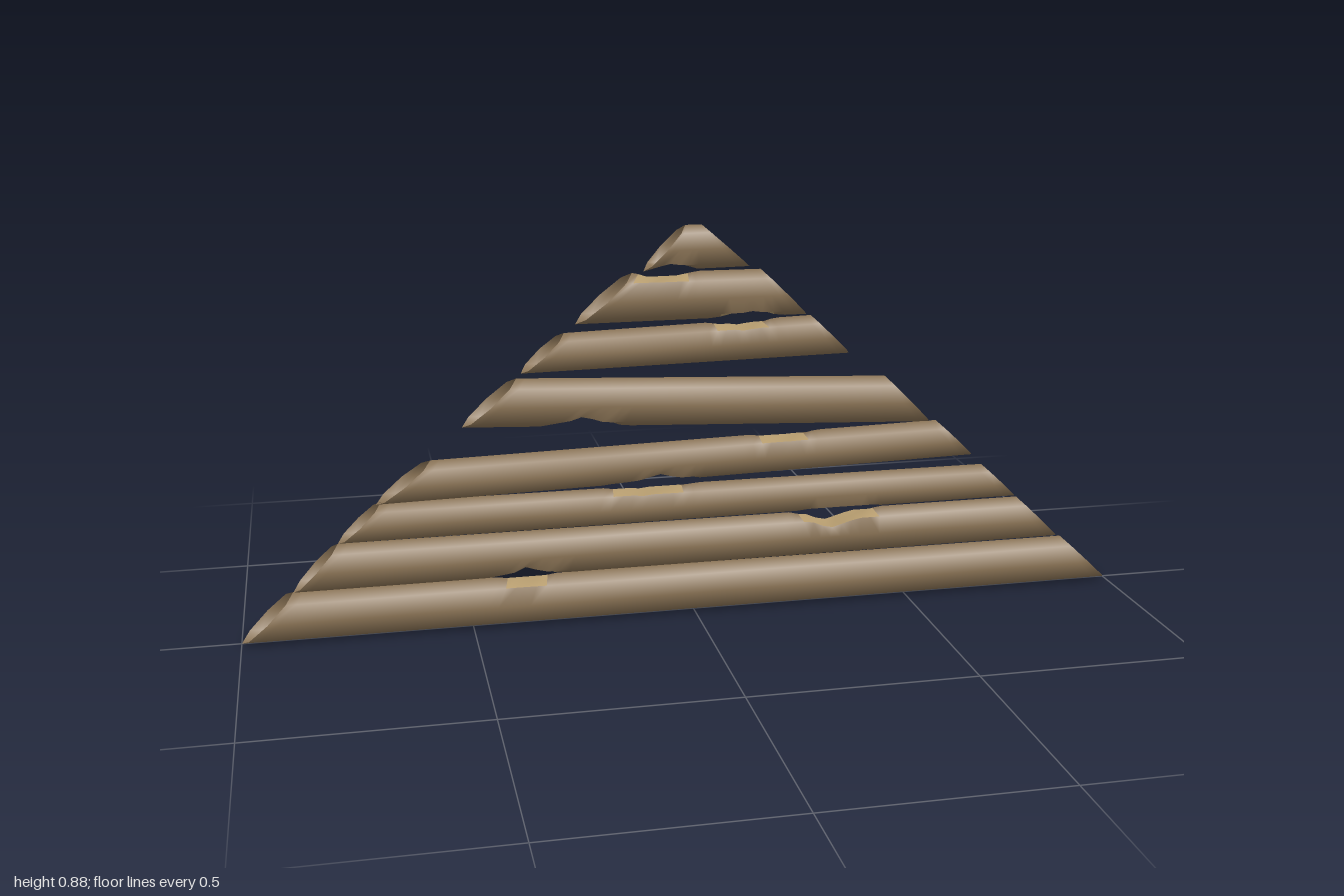
import * as THREE from 'three';

const bark = new THREE.MeshStandardMaterial({ color: 0x8a7355, side: THREE.DoubleSide });
bark.name = 'bark brown';
const core = new THREE.MeshStandardMaterial({ color: 0xb89e70, side: THREE.DoubleSide });
core.name = 'bare wood';

const SIDES = 8;

// Each log: end corners [x, y] (bottom and top at both mitred ends), half depth,
// and chips [from x, deepest x, to x, deepest y] cut into its top or bottom edge.
const LOGS = [
  { lb: [-1, 0], lt: [-0.885, 0.11], rb: [1, 0], rt: [0.885, 0.11], depth: 0.048,
    top: [[-0.45, -0.38, -0.31, 0.1]] },
  { lb: [-0.885, 0.108], lt: [-0.785, 0.213], rb: [0.875, 0.112], rt: [0.77, 0.215], depth: 0.041,
    bottom: [[-0.45, -0.38, -0.31, 0.14]], top: [[0.23, 0.31, 0.43, 0.18]] },
  { lb: [-0.785, 0.213], lt: [-0.69, 0.3], rb: [0.765, 0.218], rt: [0.68, 0.3], depth: 0.041,
    bottom: [[0.24, 0.35, 0.44, 0.228]], top: [[-0.2, -0.12, 0.01, 0.285]] },
  { lb: [-0.7, 0.295], lt: [-0.58, 0.388], rb: [0.655, 0.325], rt: [0.565, 0.412], depth: 0.045,
    bottom: [[-0.19, -0.08, 0.01, 0.334]], top: [[0.13, 0.21, 0.28, 0.39]] },
  { lb: [-0.51, 0.457], lt: [-0.39, 0.56], rb: [0.55, 0.41], rt: [0.44, 0.523], depth: 0.045,
    bottom: [[-0.34, -0.25, -0.16, 0.475]] },
  { lb: [-0.38, 0.57], lt: [-0.285, 0.655], rb: [0.355, 0.58], rt: [0.265, 0.67], depth: 0.044,
    top: [[0.03, 0.11, 0.18, 0.648]] },
  { lb: [-0.26, 0.673], lt: [-0.135, 0.78], rb: [0.255, 0.673], rt: [0.15, 0.778], depth: 0.048,
    bottom: [[0.05, 0.13, 0.19, 0.693]], top: [[-0.13, -0.08, 0.01, 0.763]] },
  { lb: [-0.11, 0.782], lt: [-0.018, 0.88], rb: [0.125, 0.785], rt: [0.018, 0.88], depth: 0.037,
    bottom: [[-0.11, -0.05, 0.01, 0.803]] },
];

const lerp = THREE.MathUtils.lerp;

// Height of a chip's floor at x, or null outside the chip
function chipFloor([from, mid, to, y], x, edge) {
  if (x <= from || x >= to) return null;
  return lerp(edge, y, x < mid ? (x - from) / (mid - from) : (to - x) / (to - mid));
}

function surface(points, index, material, name) {
  const geometry = new THREE.BufferGeometry();
  geometry.setAttribute('position', new THREE.Float32BufferAttribute(points, 3));
  geometry.setIndex(index);
  geometry.computeVertexNormals();
  const mesh = new THREE.Mesh(geometry, material);
  mesh.name = name;
  return mesh;
}

// Hollow eight-sided log with open mitred ends and flattened chips
function makeLog({ lb, lt, rb, rt, depth, top = [], bottom = [] }, number) {
  const segments = Math.max(8, Math.ceil((rb[0] - lb[0]) / 0.025));
  const points = [], chipped = [];
  for (let i = 0; i <= segments; i++) {
    const t = i / segments;
    for (let j = 0; j < SIDES; j++) {
      const a = (j / SIDES) * Math.PI * 2;
      const f = (1 + Math.cos(a)) / 2;
      const x = lerp(lerp(lb[0], lt[0], f), lerp(rb[0], rt[0], f), t);
      const low = lerp(lb[1], rb[1], t), high = lerp(lt[1], rt[1], t);
      const whole = lerp(low, high, f);
      // slight unevenness of the trunk
      const z = Math.sin(a) * depth * (1 + 0.04 * Math.sin(x * 9 + number * 2 + j));
      let y = whole;
      for (const chip of top) {
        const floor = chipFloor(chip, x, high);
        if (floor !== null) y = Math.min(y, floor);
      }
      for (const chip of bottom) {
        const floor = chipFloor(chip, x, low);
        if (floor !== null) y = Math.max(y, floor);
      }
      points.push(x, y, z);
      chipped.push(Math.abs(y - whole) > 0.002);
    }
  }
  const barkIndex = [], chipIndex = [];
  for (let i = 0; i < segments; i++) {
    for (let j = 0; j < SIDES; j++) {
      const k = (j + 1) % SIDES;
      const a = i * SIDES + j, b = i * SIDES + k, c = a + SIDES, d = b + SIDES;
      const count = [a, b, c, d].filter((v) => chipped[v]).length;
      const nearEdge = j === 0 || j === 7 || j === 3 || j === 4;
      (nearEdge && count >= 2 ? chipIndex : barkIndex).push(a, b, c, b, d, c);
    }
  }
  const log = new THREE.Group();
  log.name = `log${number}`;
  log.add(surface(points, barkIndex, bark, 'barkTube'));
  if (chipIndex.length) log.add(surface(points, chipIndex, core, 'chippedWood'));
  return log;
}

export function createModel() {
  const model = new THREE.Group();
  model.name = 'logGable';
  LOGS.forEach((spec, i) => model.add(makeLog(spec, i + 1)));
  return model;
}
